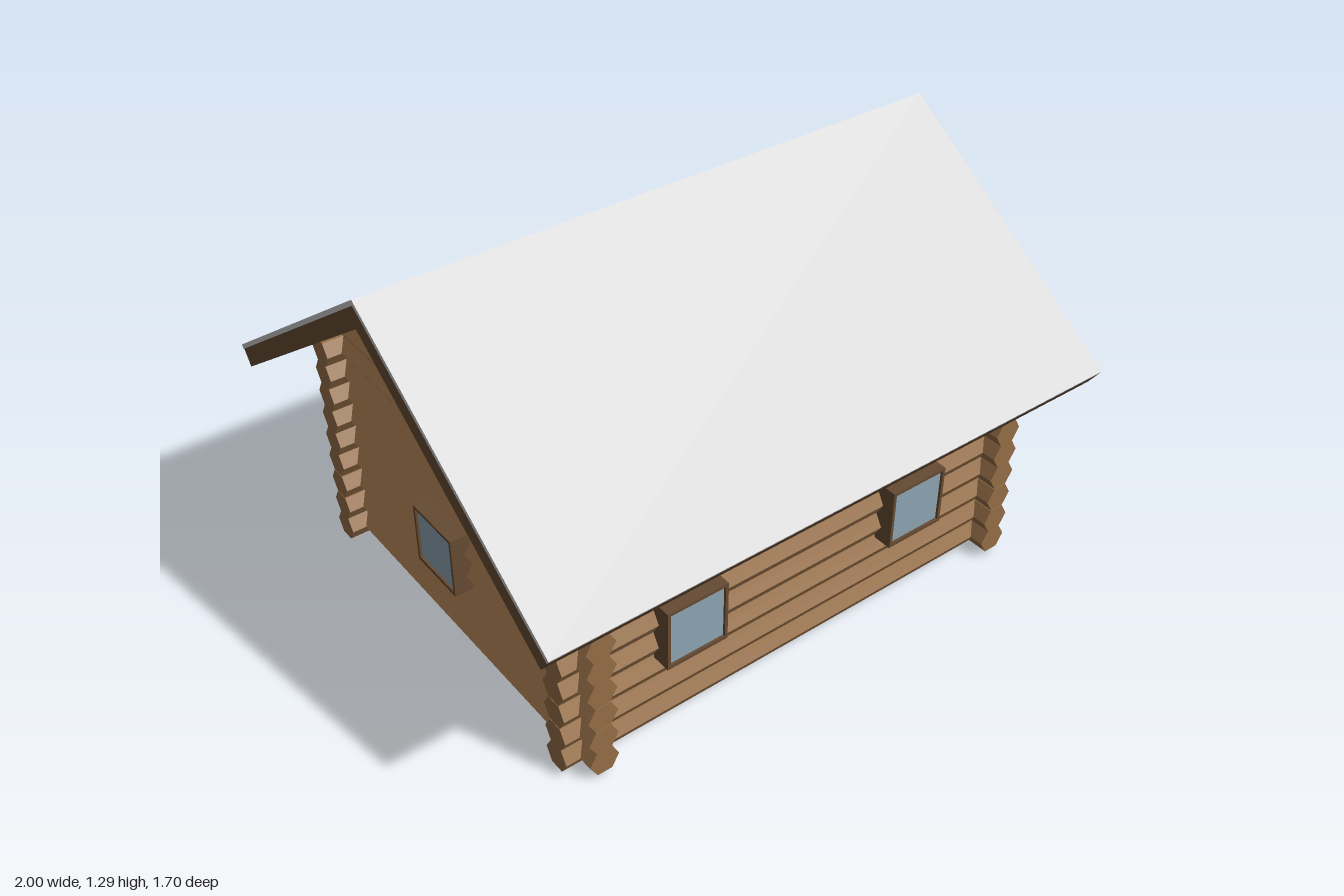
import * as THREE from 'three';

const mat = (color) => new THREE.MeshStandardMaterial({ color, flatShading: true });
const SLOPE = 0.7;
const LOG_H = 0.0847;                        // height across the flats of a log
const LOG_R = LOG_H / Math.sqrt(3);
const WALL_X = [-0.757, 0.773];              // centre lines of the gable walls
const WALL_Z = [-0.605, 0.62];               // centre lines of the long walls

export function createModel() {
  const model = new THREE.Group();
  model.name = 'logCabin';
  const wood = mat(0x966f47), trim = mat(0x664b33), doorWood = mat(0x7a5828);
  const glass = mat(0x8ea6b4), roofing = mat(0xcccccc);

  const add = (name, geometry, material, parent = model) => {
    const mesh = new THREE.Mesh(geometry, material);
    mesh.name = name;
    parent.add(mesh);
    return mesh;
  };

  // Hexagonal log with flat top and bottom, running along x from a to b
  const logGeometry = (a, b) =>
    new THREE.CylinderGeometry(LOG_R, LOG_R, b - a, 6).rotateZ(Math.PI / 2).translate((a + b) / 2, 0, 0);

  // Courses of logs, crossing at the corners and stepping in under the gables
  for (let i = 0; i < 14; i++) {
    const bottom = 0.015 + i * LOG_H + (i > 1 ? 0.003 : 0) + (i > 2 ? 0.003 : 0);
    const y = bottom + LOG_H / 2;
    if (i < 9) {
      for (const z of WALL_Z) add('sideWallLog', logGeometry(-0.853, 0.858), wood).position.set(0, y, z);
    }
    const reach = (1.2 - bottom) / SLOPE;
    const back = Math.max(-0.69, -reach), front = Math.min(0.715, reach);
    for (const x of WALL_X) {
      const log = add(i < 9 ? 'endWallLog' : 'gableLog', logGeometry(-front, -back), wood);
      log.rotation.y = Math.PI / 2;
      log.position.set(x, y, 0);
    }
  }

  // Roof layer: a chevron with square-cut eaves, extruded along the ridge
  const roofLayer = (name, apex, halfSpan, thickness, length, material) => {
    const d = thickness / (1 + SLOPE * SLOPE);
    const eave = apex - SLOPE * halfSpan;
    const inner = halfSpan - SLOPE * d;
    const shape = new THREE.Shape([
      [0, apex], [-halfSpan, eave], [-inner, eave - d],
      [0, apex - thickness], [inner, eave - d], [halfSpan, eave],
    ].map(([x, y]) => new THREE.Vector2(x, y)));
    const geometry = new THREE.ExtrudeGeometry(shape, { depth: length, bevelEnabled: false });
    add(name, geometry.translate(0, 0, -length / 2).rotateY(Math.PI / 2), material);
  };
  roofLayer('roofCovering', 1.29, 0.85, 0.018, 2, roofing);
  roofLayer('roofBoards', 1.272, 0.842, 0.072, 1.996, trim);

  // Framed opening: base centre at the origin, outer face at z = 0
  const opening = (name, w, h, edge, top, bottom, panel, position, turn) => {
    const group = new THREE.Group();
    group.name = name;
    const rect = (Type, x0, y0, x1, y1) => new Type(
      [[x0, y0], [x1, y0], [x1, y1], [x0, y1]].map(([x, y]) => new THREE.Vector2(x, y)));
    const shape = rect(THREE.Shape, -w / 2, 0, w / 2, h);
    shape.holes.push(rect(THREE.Path, -w / 2 + edge, bottom, w / 2 - edge, h - top));
    const frame = new THREE.ExtrudeGeometry(shape, { depth: 0.065, bevelEnabled: false });
    add(name + 'Frame', frame.translate(0, 0, -0.065), trim, group);
    const ph = h - top - bottom;
    const infill = new THREE.BoxGeometry(w - 2 * edge, ph, 0.05);
    add(name + 'Panel', infill.translate(0, bottom + ph / 2, -0.033), panel, group);
    group.position.set(...position);
    group.rotation.y = turn;
    model.add(group);
  };
  const makeWindow = (position, turn) =>
    opening('window', 0.21, 0.207, 0.01, 0.01, 0.012, glass, position, turn);

  // Windows: two on each long wall, one on the left gable end's opposite wall, one above the door
  for (const x of [-0.43, 0.405]) {
    makeWindow([x, 0.265, 0.71], 0);
    makeWindow([x, 0.265, -0.695], Math.PI);
  }
  makeWindow([-0.848, 0.265, 0], -Math.PI / 2);
  makeWindow([0.865, 0.858, 0], Math.PI / 2);

  // Door
  opening('door', 0.326, 0.59, 0.016, 0.028, 0.01, doorWood, [0.865, 0, 0.008], Math.PI / 2);

  return model;
}
